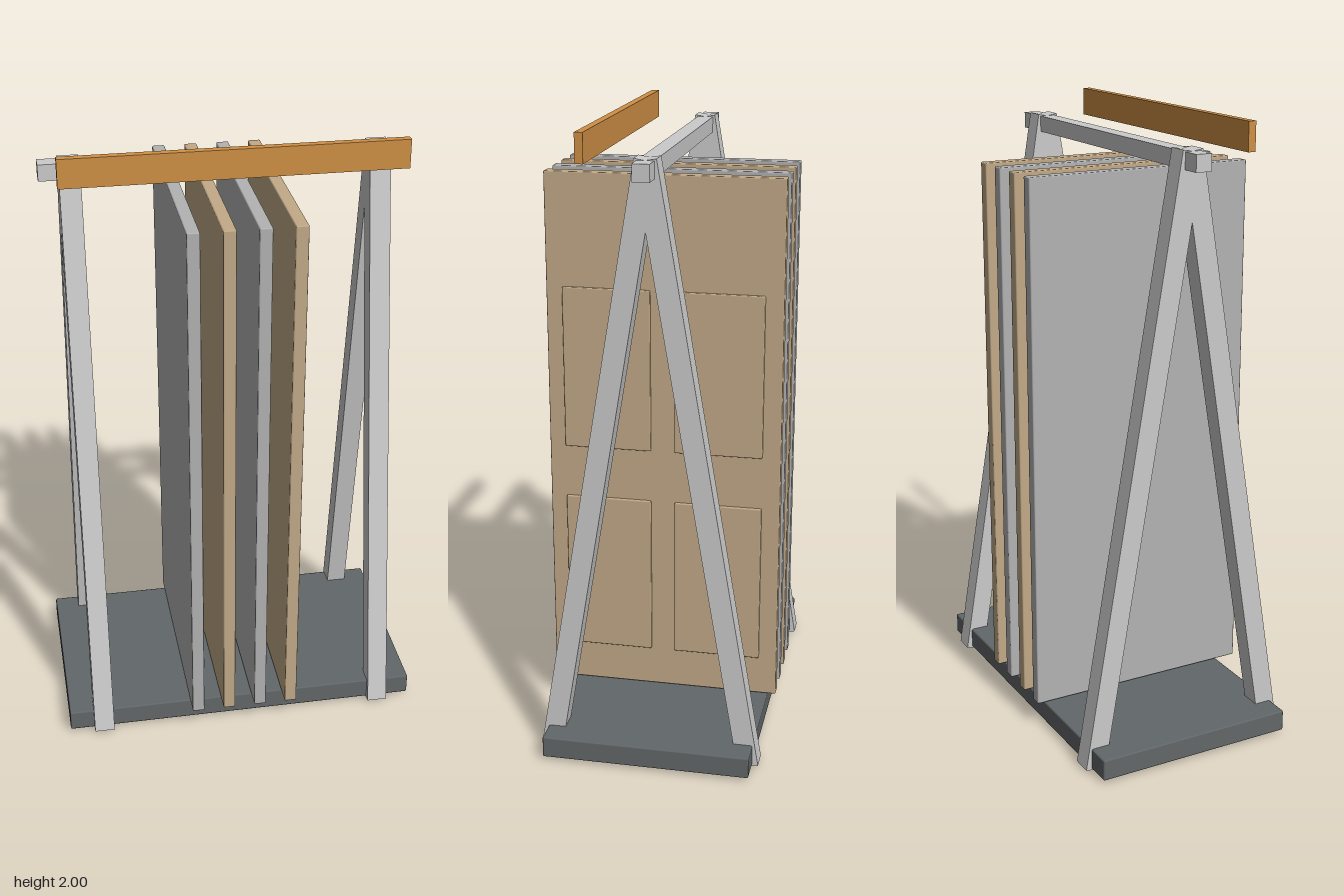
import * as THREE from 'three';
import { RoundedBoxGeometry } from 'three/addons/geometries/RoundedBoxGeometry.js';

const material = (color) => new THREE.MeshStandardMaterial({ color });
const steel = material(0xcccccc);
const dark = material(0x626769);
const greyDoor = material(0xb3b3b3);
const tanDoor = material(0xc2aa88);
const orange = material(0xcf9046);

// Box given by its limits on each axis; bevel > 0 softens the edges
function block(name, mat, [x0, x1], [y0, y1], [z0, z1], bevel = 0) {
  const size = [x1 - x0, y1 - y0, z1 - z0];
  const geometry = bevel
    ? new RoundedBoxGeometry(...size, 1, bevel)
    : new THREE.BoxGeometry(...size);
  const mesh = new THREE.Mesh(geometry, mat);
  mesh.name = name;
  mesh.position.set((x0 + x1) / 2, (y0 + y1) / 2, (z0 + z1) / 2);
  return mesh;
}

// Square bar leaning in the yz plane, from its foot to the apex
function leg(name, x, footZ, apexZ) {
  const footY = 0.006, apexY = 1.924;
  const dz = apexZ - footZ, dy = apexY - footY;
  const mesh = new THREE.Mesh(new THREE.BoxGeometry(0.066, Math.hypot(dy, dz), 0.068), steel);
  mesh.name = name;
  mesh.position.set(x, (footY + apexY) / 2, (footZ + apexZ) / 2);
  mesh.rotation.x = Math.atan2(dz, dy);
  return mesh;
}

// Door slab with four raised panels on its +x face
function door(x, mat) {
  const group = new THREE.Group();
  group.name = 'door';
  group.add(block('doorSlab', mat, [x - 0.02, x + 0.02], [0.087, 1.829], [-0.384, 0.378], 0.004));
  for (const ys of [[0.22, 0.756], [0.93, 1.464]])
    for (const zs of [[-0.325, -0.038], [0.04, 0.325]])
      group.add(block('doorPanel', mat, [x + 0.01, x + 0.029], ys, zs, 0.004));
  return group;
}

export function createModel() {
  const model = new THREE.Group();
  model.name = 'doorDisplayRack';

  // Base plate
  model.add(block('base', dark, [-0.592, 0.592], [0.012, 0.082], [-0.355, 0.312], 0.005));

  // A-frames at both ends
  const apexZ = -0.019;
  for (const side of [-1, 1]) {
    const frame = new THREE.Group();
    frame.name = side < 0 ? 'rightFrame' : 'leftFrame';
    frame.add(leg('frontLeg', side * 0.478, apexZ + 0.322, apexZ));
    frame.add(leg('backLeg', side * 0.478, apexZ - 0.322, apexZ));
    model.add(frame);
  }

  // Top rail and sign board
  model.add(block('topRail', steel, [-0.572, 0.572], [1.872, 1.924], [-0.046, 0.006]));
  model.add(block('signBoard', orange, [-0.525, 0.525], [1.91, 2], [0.158, 0.183]));

  // Row of doors in alternating finishes
  for (let i = 0; i < 4; i++)
    model.add(door(-0.16 + i * 0.106, i % 2 ? tanDoor : greyDoor));

  return model;
}
